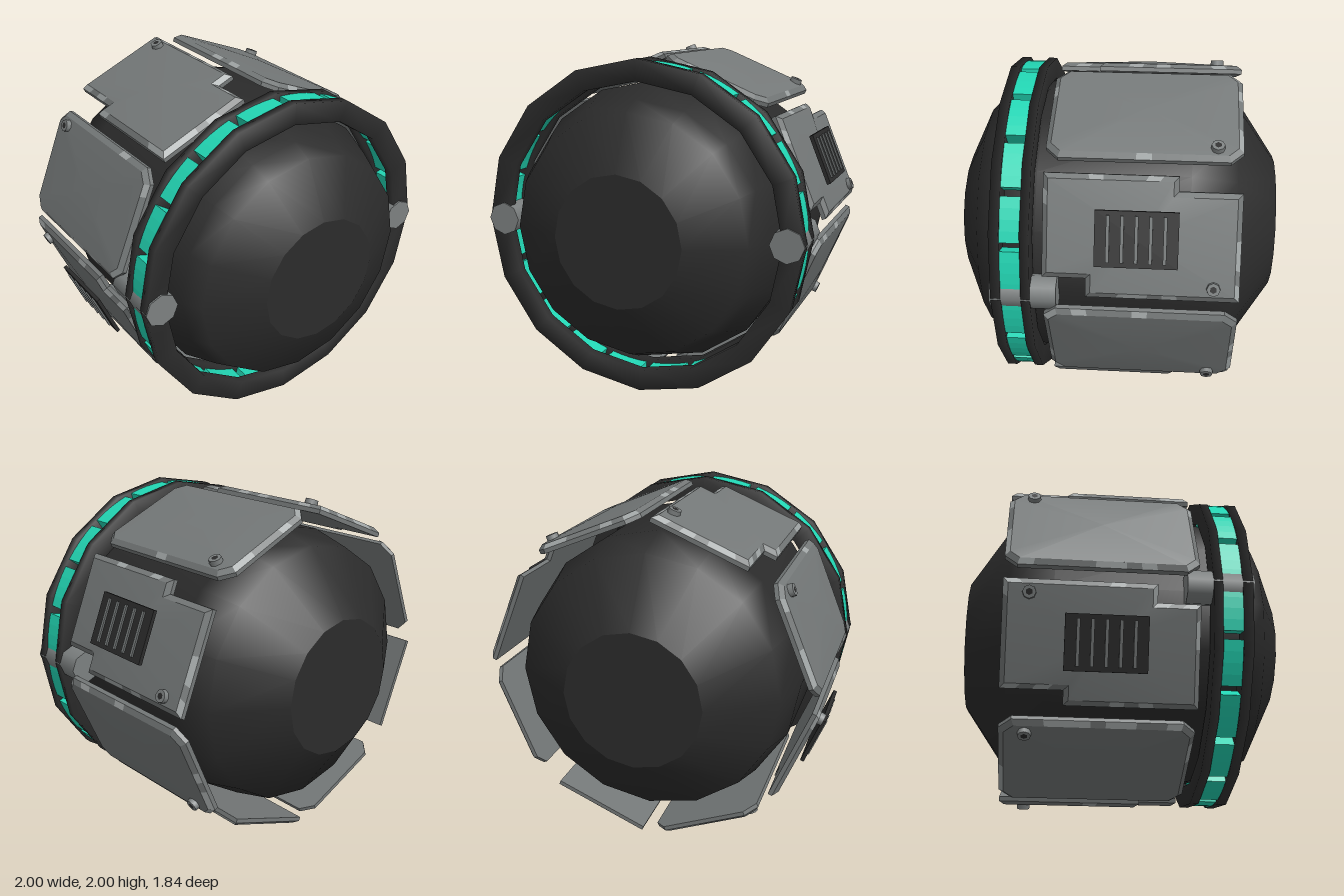
import * as THREE from 'three';

const material = (name, color, extra = {}) => {
  const m = new THREE.MeshStandardMaterial({ color, ...extra });
  m.name = name;
  return m;
};

export function createModel() {
  const dark = material('dark rubber', 0x2b2b2b);
  const teal = material('teal light', 0x22d6b4);
  const grey = material('plate grey', 0x747878);
  const worn = material('worn edge', 0xa0a5a5);
  const steel = material('bolt steel', 0x7c8080);

  const model = new THREE.Group();
  const body = new THREE.Group();
  body.position.y = 1;
  model.add(body);

  let seed = 7;
  const random = () => (seed = (seed * 16807) % 2147483647) / 2147483647;

  const add = (parent, name, geometry, mat, x = 0, y = 0, z = 0) => {
    const mesh = new THREE.Mesh(geometry, mat);
    mesh.name = name;
    mesh.position.set(x, y, z);
    parent.add(mesh);
    return mesh;
  };

  // Profile of [radius, z] points turned around the z axis
  const turned = (profile) =>
    new THREE.LatheGeometry(profile.map((p) => new THREE.Vector2(...p)), 16).rotateX(Math.PI / 2);

  // Core with flat ends
  add(body, 'core', turned([[0.4, -0.92], [0.765, -0.67], [0.83, -0.42], [0.83, 0.42],
    [0.745, 0.65], [0.69, 0.77], [0.375, 0.92]]), dark);
  add(body, 'frontCap', new THREE.CircleGeometry(0.375, 16), dark, 0, 0, 0.92);
  add(body, 'backCap', new THREE.CircleGeometry(0.4, 16).rotateY(Math.PI), dark, 0, 0, -0.92);

  // Two dark rings either side of the light band
  const ring = (name, z0, z1) => add(body, name,
    turned([[0.842, z0], [0.965, z0], [0.965, z1], [0.842, z1], [0.842, z0]]), dark);
  ring('frontRing', 0.59, 0.645);
  ring('rearRing', 0.43, 0.48);

  // Light band: twenty short arcs
  const gap = 0.025;
  for (let i = 0; i < 20; i++) {
    const a0 = (i * Math.PI) / 10 + gap, a1 = ((i + 1) * Math.PI) / 10 - gap;
    const s = new THREE.Shape();
    s.absarc(0, 0, 0.945, a0, a1, false);
    s.absarc(0, 0, 0.855, a1, a0, true);
    add(body, 'lightSegment', new THREE.ExtrudeGeometry(s,
      { depth: 0.11, bevelEnabled: false, curveSegments: 2 }), teal, 0, 0, 0.48);
  }

  // Side clamps through the rings
  for (const side of [-1, 1]) {
    add(body, 'clamp', new THREE.CylinderGeometry(0.098, 0.098, 0.365, 8).rotateX(Math.PI / 2),
      steel, side * 0.868, 0, 0.4725);
  }

  // Move each corner of a counter-clockwise outline inwards
  const inset = (outline, amount) => outline.map((p, i) => {
    const n = outline.length, a = outline[(i + n - 1) % n], b = outline[(i + 1) % n];
    const normal = (s, e) => {
      const l = Math.hypot(e[0] - s[0], e[1] - s[1]);
      return [-(e[1] - s[1]) / l, (e[0] - s[0]) / l];
    };
    const n0 = normal(a, p), n1 = normal(p, b);
    const k = amount / (1 + n0[0] * n1[0] + n0[1] * n1[1]);
    return [p[0] + (n0[0] + n1[0]) * k, p[1] + (n0[1] + n1[1]) * k];
  });

  const soup = (positions, index) => {
    const g = new THREE.BufferGeometry();
    g.setAttribute('position', new THREE.Float32BufferAttribute(positions, 3));
    if (index) g.setIndex(index);
    g.computeVertexNormals();
    return g;
  };

  // Armour plate: shallow domed top, bevelled rim with worn patches, flat underside
  const addPlate = (parent, outline) => {
    const top = inset(outline, 0.028), n = outline.length, mid = -0.16;
    const dome = [0, mid, 0.957], domeIndex = [];
    const plain = [], scuffed = [];
    const quad = (list, a, b, c, d) => list.push(...a, ...b, ...c, ...a, ...c, ...d);
    for (let i = 0; i < n; i++) {
      const j = (i + 1) % n;
      dome.push(...top[i], 0.93);
      domeIndex.push(0, i + 1, j + 1);
      const lo0 = [...outline[i], 0.882], lo1 = [...outline[j], 0.882];
      const rim0 = [...outline[i], 0.907], rim1 = [...outline[j], 0.907];
      const in0 = [...top[i], 0.93], in1 = [...top[j], 0.93];
      quad(plain, lo0, lo1, rim1, rim0);
      plain.push(...lo1, ...lo0, 0, mid, 0.882);
      const length = Math.hypot(outline[j][0] - outline[i][0], outline[j][1] - outline[i][1]);
      const parts = Math.max(1, Math.round(length / 0.08));
      const mix = (a, b, t) => a.map((v, k) => v + (b[k] - v) * t);
      for (let k = 0; k < parts; k++) {
        const t0 = k / parts, t1 = (k + 1) / parts;
        quad(random() < 0.3 ? scuffed : plain, mix(rim0, rim1, t0), mix(rim0, rim1, t1),
          mix(in0, in1, t1), mix(in0, in1, t0));
      }
    }
    add(parent, 'plateTop', soup(dome, domeIndex), grey);
    add(parent, 'plateRim', soup(plain), grey);
    if (scuffed.length) add(parent, 'plateWear', soup(scuffed), worn);
  };

  // Plate outlines in (around, z)
  const w = 0.33, f = 0.365, b = -0.69, c = 0.07;
  const stepped = [[-w, b], [w - 0.08, b], [w - 0.08, -0.355], [w, -0.355], [w, f],
    [-w + 0.1, f], [-w + 0.1, 0.13], [-w, 0.13]];
  const chamfered = [[-w + c, b], [w - c, b], [w, b + c], [w, f - c], [w - c, f],
    [-w + c, f], [-w, f - c], [-w, b + c]];

  for (let i = 0; i < 8; i++) {
    const angle = Math.PI / 8 + (i * Math.PI) / 4;
    const out = new THREE.Vector3(Math.cos(angle), Math.sin(angle), 0);
    const around = new THREE.Vector3(-out.y, out.x, 0);
    const plate = new THREE.Group();
    plate.name = 'armourPlate';
    plate.quaternion.setFromRotationMatrix(
      new THREE.Matrix4().makeBasis(around, new THREE.Vector3(0, 0, 1), out));
    body.add(plate);
    addPlate(plate, i % 2 ? chamfered : stepped);

    // Bolt with a hexagonal socket
    add(plate, 'bolt', new THREE.CylinderGeometry(0.036, 0.04, 0.06, 8).rotateX(Math.PI / 2),
      steel, -0.255, -0.55, 0.93);
    add(plate, 'boltSocket', new THREE.CircleGeometry(0.019, 6), dark, -0.255, -0.55, 0.961);

    // Vent grille on two opposite plates
    if (i % 4 === 0) {
      add(plate, 'ventPanel', new THREE.BoxGeometry(0.3, 0.44, 0.022), dark, 0, -0.14, 0.98);
      for (let k = 0; k < 5; k++) {
        add(plate, 'ventBar', new THREE.BoxGeometry(0.25, 0.018, 0.016), grey,
          0, 0.01 - k * 0.075, 0.993);
      }
    }
  }
  return model;
}
